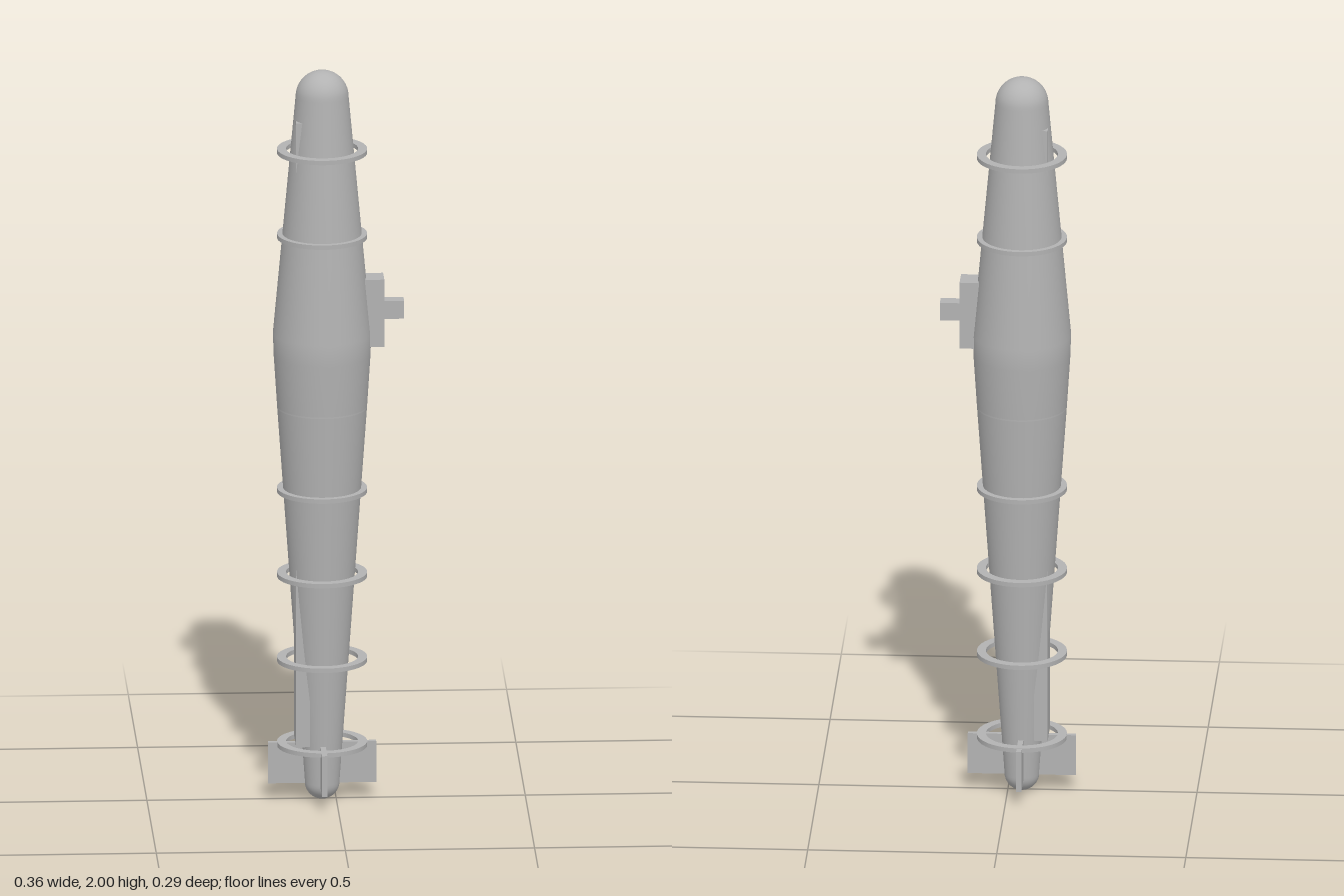
import * as THREE from 'three';

export function createModel() {
  const model = new THREE.Group();
  model.name = 'airship';
  const grey = new THREE.MeshStandardMaterial({ color: 0xb2b2b2 });
  grey.name = 'hull grey';
  const axis = -0.037; // the hull's axis lies left of centre

  const add = (name, geometry, x, y, z) => {
    const mesh = new THREE.Mesh(geometry, grey);
    mesh.name = name;
    mesh.position.set(x, y, z);
    model.add(mesh);
    return mesh;
  };
  // Box given by its limits on each axis
  const block = (name, x0, x1, y0, y1, z0, z1) =>
    add(name, new THREE.BoxGeometry(x1 - x0, y1 - y0, z1 - z0),
      (x0 + x1) / 2, (y0 + y1) / 2, (z0 + z1) / 2);

  // Hull: round tail, long taper, short waist, nose taper, round nose
  const profile = [];
  const tailR = 0.046, noseR = 0.07, steps = 10;
  for (let i = 0; i <= steps; i++) {
    const a = (i / steps) * Math.PI / 2;
    profile.push(new THREE.Vector2(tailR * Math.sin(a), tailR * (1 - Math.cos(a))));
  }
  profile.push(new THREE.Vector2(0.119, 1.08), new THREE.Vector2(0.128, 1.22), new THREE.Vector2(0.13, 1.28));
  for (let i = 0; i <= steps; i++) {
    const a = (i / steps) * Math.PI / 2;
    profile.push(new THREE.Vector2(noseR * Math.cos(a), 2 - noseR + noseR * Math.sin(a)));
  }
  add('hull', new THREE.LatheGeometry(profile, 64), axis, 0, 0);

  // Flat hoops at even spacing along the hull
  const h = 0.006;
  const hoopProfile = [[0.095, -h], [0.119, -h], [0.119, -h], [0.119, h], [0.119, h], [0.095, h], [0.095, h], [0.095, -h]];
  const hoop = new THREE.LatheGeometry(hoopProfile.map(([r, y]) => new THREE.Vector2(r, y)), 64)
    .toNonIndexed();
  // Each flat band of the hoop gets its own normals
  const p = hoop.attributes.position, n = hoop.attributes.normal;
  for (let i = 0; i < p.count; i += 3) {
    const ys = [0, 1, 2].map(k => p.getY(i + k));
    const flat = Math.max(...ys) - Math.min(...ys) < 1e-5;
    for (let k = 0; k < 3; k++) {
      const x = p.getX(i + k), z = p.getZ(i + k), r = Math.hypot(x, z);
      const s = r > 0.107 ? 1 / r : -1 / r;
      if (flat) n.setXYZ(i + k, 0, Math.sign(ys[0]), 0);
      else n.setXYZ(i + k, x * s, 0, z * s);
    }
  }
  for (let i = 0; i < 8; i++) add('hoop', hoop, axis, 0.151 + i * 0.2327, 0);

  // Cross of tail fins
  for (let i = 0; i < 4; i++) {
    const fin = new THREE.BoxGeometry(0.123, 0.112, 0.014);
    fin.translate(0.0815, 0, 0);
    add('tailFin', fin, axis, 0.1, 0).rotation.y = i * Math.PI / 2;
  }

  // Spine running along the hull, showing only at its ends
  block('spine', -0.108, -0.072, 0.155, 1.87, -0.052, 0.052);

  // Cabin and its outer pod
  block('cabin', 0.05, 0.126, 1.247, 1.432, -0.033, 0.033);
  block('pod', 0.12, 0.179, 1.32, 1.369, -0.019, 0.019);

  return model;
}
